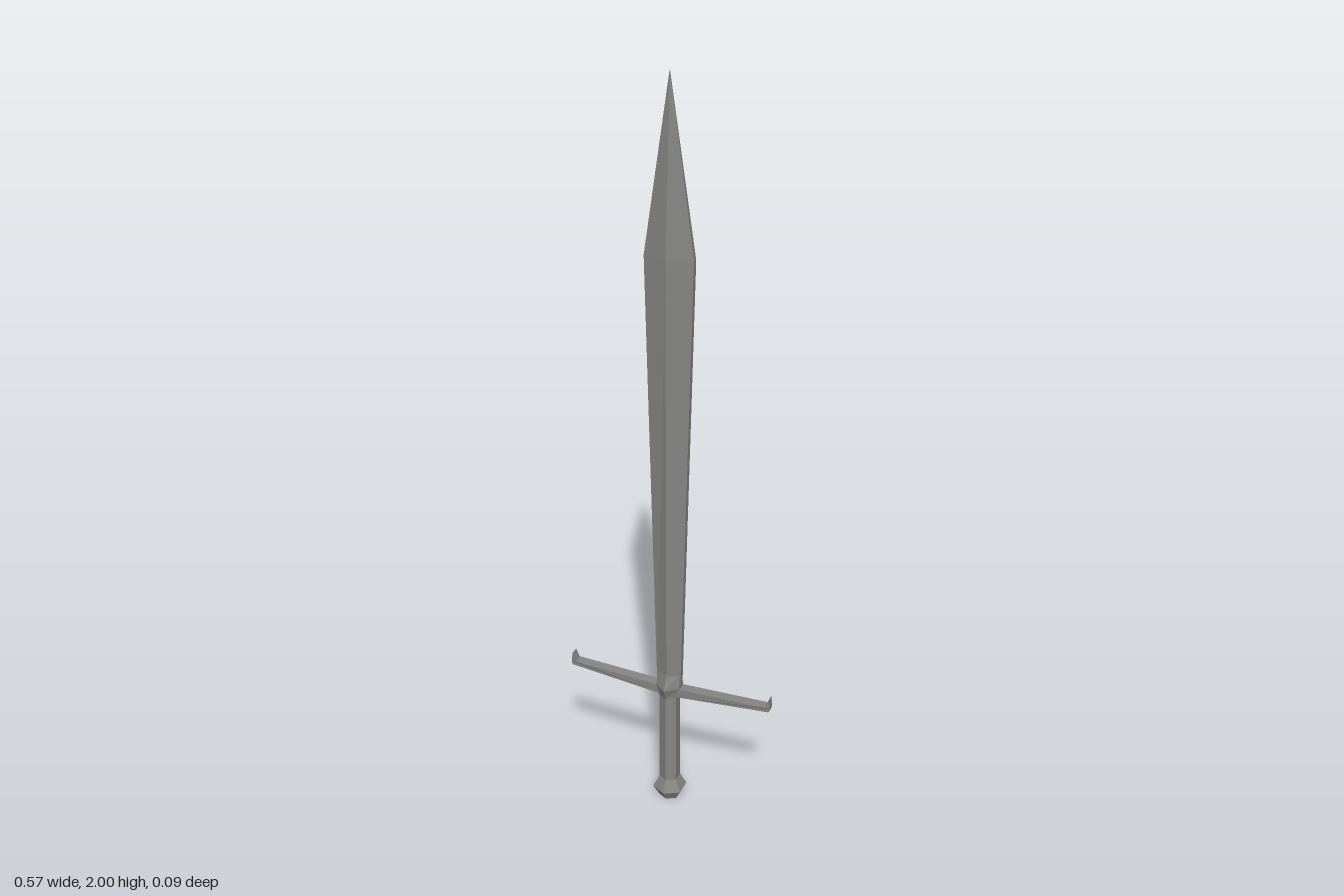
import * as THREE from 'three';

const steel = new THREE.MeshStandardMaterial({ color: 0x858583, flatShading: true });
steel.name = 'steel grey';

// Six-sided loft; each ring is [y, half width, ridge depth, edge depth]
function hexLoft(name, rings) {
  const pos = [];
  const loops = rings.map(([y, w, d, e]) => [
    [0, y, d], [w, y, e], [w, y, -e], [0, y, -d], [-w, y, -e], [-w, y, e],
  ]);
  const tri = (...corners) => corners.forEach((c) => pos.push(...c));
  for (let r = 0; r < loops.length - 1; r++) {
    const a = loops[r], b = loops[r + 1];
    for (let i = 0; i < 6; i++) {
      const j = (i + 1) % 6;
      tri(a[i], a[j], b[j]);
      tri(a[i], b[j], b[i]);
    }
  }
  // End caps
  const low = loops[0], high = loops[loops.length - 1];
  for (let i = 1; i < 5; i++) {
    tri(low[0], low[i + 1], low[i]);
    tri(high[0], high[i], high[i + 1]);
  }
  const geo = new THREE.BufferGeometry();
  geo.setAttribute('position', new THREE.Float32BufferAttribute(pos, 3));
  geo.computeVertexNormals();
  const mesh = new THREE.Mesh(geo, steel);
  mesh.name = name;
  return mesh;
}

// Tapered crossguard arm with a small upturned hook
function guardArm(name, side) {
  const outline = [
    [0, 0.335], [0.03, 0.342], [0.284, 0.364], [0.286, 0.375],
    [0.283, 0.402], [0.274, 0.377], [0.03, 0.368], [0, 0.366],
  ];
  const shape = new THREE.Shape(outline.map(([x, y]) => new THREE.Vector2(x, y)));
  const geo = new THREE.ExtrudeGeometry(shape, { depth: 0.028, bevelEnabled: false });
  geo.translate(0, 0, -0.014);
  // Narrow the outer end slightly
  const p = geo.attributes.position;
  for (let i = 0; i < p.count; i++) {
    if (p.getX(i) > 0.28) p.setZ(i, p.getZ(i) * 0.82);
  }
  geo.computeVertexNormals();
  const mesh = new THREE.Mesh(geo, steel);
  mesh.name = name;
  if (side < 0) mesh.rotation.y = Math.PI;
  return mesh;
}

export function createModel() {
  const sword = new THREE.Group();
  sword.name = 'sword';
  sword.add(
    hexLoft('blade', [
      [0.36, 0.033, 0.024, 0.008],
      [1.57, 0.063, 0.026, 0.007],
      [2.0, 0.0005, 0.0005, 0.0002],
    ]),
    hexLoft('collar', [
      [0.335, 0.024, 0.028, 0.014],
      [0.37, 0.033, 0.041, 0.014],
      [0.408, 0.03, 0.026, 0.01],
    ]),
    hexLoft('grip', [
      [0.05, 0.024, 0.029, 0.015],
      [0.345, 0.024, 0.029, 0.015],
    ]),
    hexLoft('pommel', [
      [0, 0.025, 0.029, 0.015],
      [0.03, 0.04, 0.046, 0.024],
      [0.064, 0.024, 0.029, 0.015],
    ]),
    guardArm('leftGuardArm', 1),
    guardArm('rightGuardArm', -1),
  );
  return sword;
}
